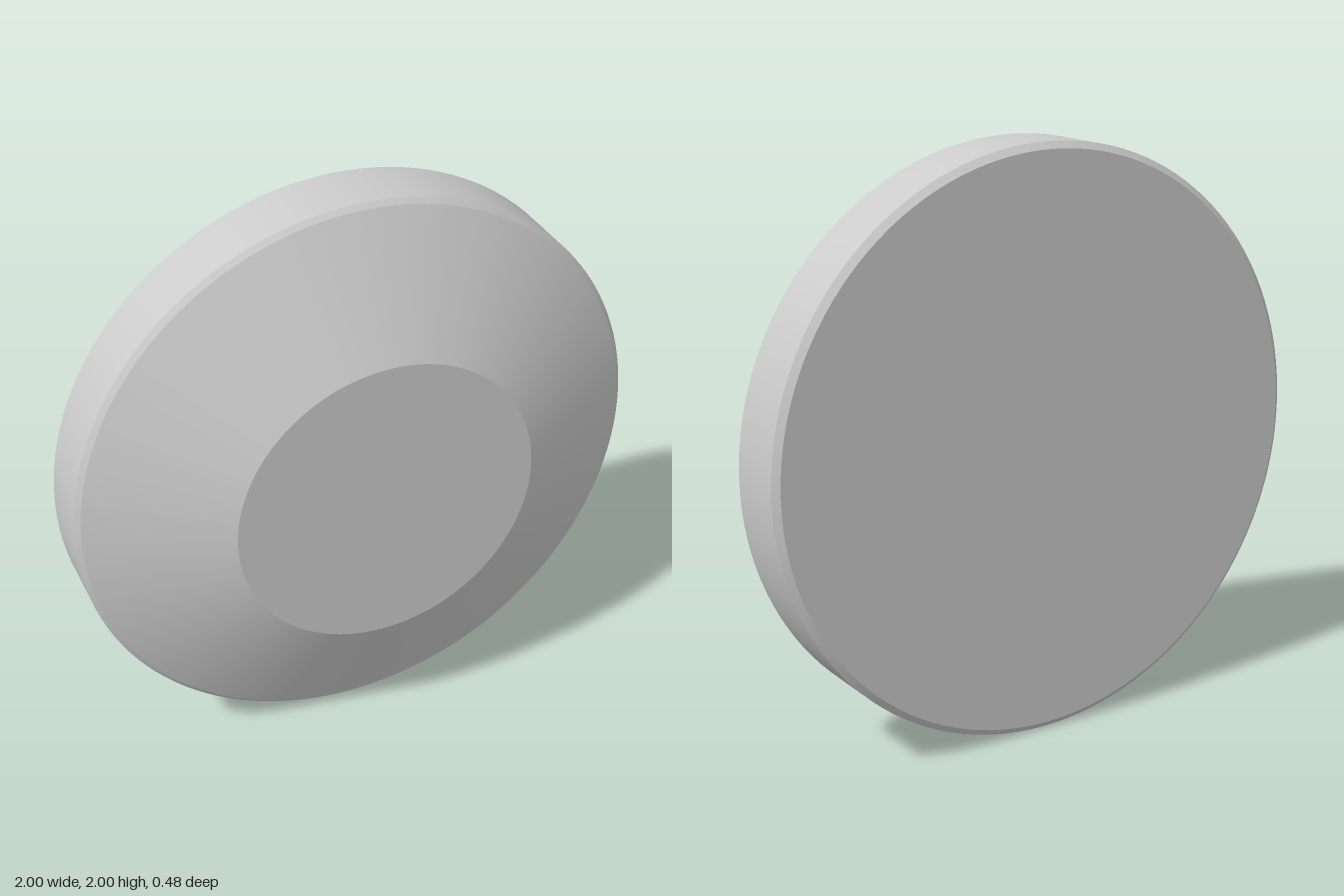
import * as THREE from 'three';

export function createModel() {
  const model = new THREE.Group();
  const material = new THREE.MeshStandardMaterial({ color: 0xcccccc });

  // Disc turned about its own axis, then laid to face the front with a very slight yaw
  const disc = new THREE.Group();
  disc.name = 'disc';
  disc.rotation.set(Math.PI / 2, 0, 0);
  const yaw = new THREE.Group();
  yaw.name = 'tiltedDisc';
  yaw.position.y = 1;
  yaw.rotation.y = -0.0078;
  yaw.add(disc);
  model.add(yaw);

  // Profile from back to front: [radius, depth]
  const profile = [
    [0, -0.232], [0.977, -0.232], [1, -0.214], [1, 0.007],
    [0.983, 0.023], [0.53, 0.232], [0, 0.232],
  ];
  const names = ['backFace', 'backChamfer', 'rim', 'frontChamfer', 'frontCone', 'frontFace'];

  // One lathe band per profile segment keeps the edges crisp and the curves smooth
  names.forEach((name, i) => {
    const points = [profile[i], profile[i + 1]].map(([r, z]) => new THREE.Vector2(r, z));
    const band = new THREE.Mesh(new THREE.LatheGeometry(points, 128), material);
    band.name = name;
    disc.add(band);
  });

  return model;
}
